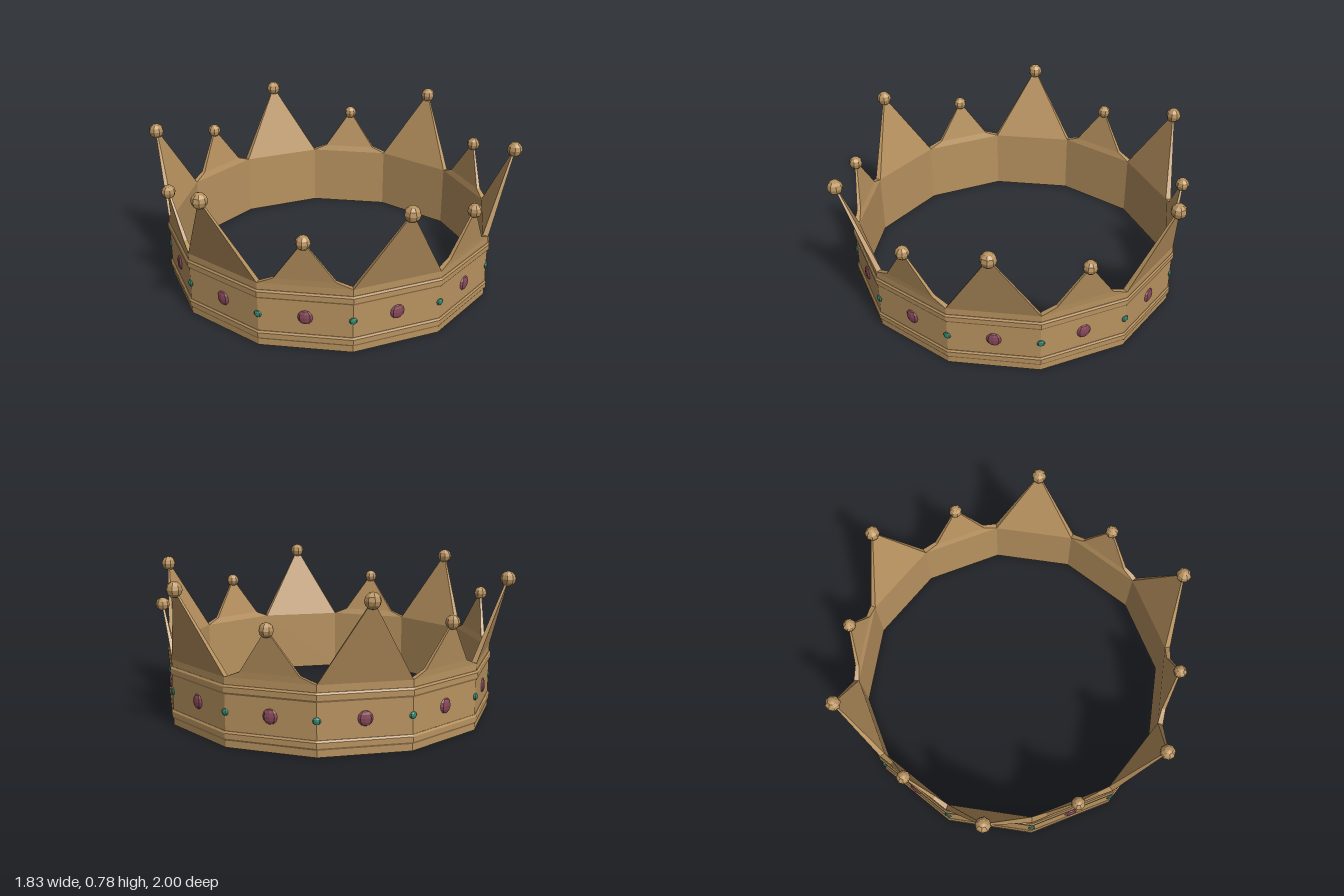
import * as THREE from 'three';

const SIDES = 12;
const STEP = (Math.PI * 2) / SIDES;
const COS = Math.cos(STEP / 2);
const TAN = Math.tan(STEP / 2);

const material = (color) => new THREE.MeshStandardMaterial({ color, flatShading: true });

// Twelve-sided ring; profile points are [distance to flat, height], outside going up
function ring(name, profile, mat) {
  const points = [...profile, profile[0]].map(([a, y]) => new THREE.Vector2(a / COS, y));
  const mesh = new THREE.Mesh(new THREE.LatheGeometry(points, SIDES, STEP / 2), mat);
  mesh.name = name;
  return mesh;
}

// Thin leaning point, lofted through levels [height, outer half width, outer z, inner half width, inner z]
function spikeGeometry(levels) {
  const positions = [];
  const index = [];
  for (const [y, wo, zo, wi, zi] of levels) {
    positions.push(-wo, y, zo, wo, y, zo, wi, y, zi, -wi, y, zi);
  }
  for (let l = 0; l < levels.length - 1; l++) {
    for (let k = 0; k < 4; k++) {
      const a = l * 4 + k;
      const b = l * 4 + ((k + 1) % 4);
      index.push(a, b, b + 4, a, b + 4, a + 4);
    }
  }
  const geometry = new THREE.BufferGeometry();
  geometry.setAttribute('position', new THREE.Float32BufferAttribute(positions, 3));
  geometry.setIndex(index);
  const flat = geometry.toNonIndexed();
  flat.computeVertexNormals();
  return flat;
}

export function createModel() {
  const crown = new THREE.Group();
  crown.name = 'crown';
  const gold = material(0xb8925f);
  const red = material(0x87485a);
  const green = material(0x2f8570);

  // Wall and the two raised bands
  const OUT = 0.85;
  const IN = 0.822;
  const RIM = 0.345;
  crown.add(ring('wall', [[IN, 0], [OUT, 0], [OUT, RIM], [IN, RIM]], gold));
  for (const [name, y] of [['lowerBand', 0.035], ['upperBand', 0.262]]) {
    crown.add(ring(name, [
      [OUT - 0.01, y], [OUT + 0.002, y], [OUT + 0.008, y + 0.011],
      [OUT + 0.008, y + 0.037], [OUT + 0.002, y + 0.047], [OUT - 0.01, y + 0.047],
    ], gold));
  }

  // Tall and short points alternate around the rim
  const base = [RIM, OUT * TAN, OUT, IN * TAN, IN];
  const tallSpike = spikeGeometry([base, [0.735, 0.006, 0.963, 0.006, 0.953]]);
  const shortSpike = spikeGeometry([
    base,
    [0.377, 0.148, 0.853, 0.146, 0.833],
    [0.585, 0.006, 0.884, 0.006, 0.874],
  ]);
  const ball = new THREE.SphereGeometry(1, 8, 6);

  function addBlob(parent, name, mat, position, scale) {
    const mesh = new THREE.Mesh(ball, mat);
    mesh.name = name;
    mesh.position.set(...position);
    mesh.scale.set(...scale);
    parent.add(mesh);
  }

  for (let i = 0; i < SIDES; i++) {
    const tall = i % 2 === 0;
    const panel = new THREE.Group();
    panel.name = tall ? 'tallPanel' : 'shortPanel';
    panel.rotation.y = i * STEP;
    const spike = new THREE.Mesh(tall ? tallSpike : shortSpike, gold);
    spike.name = 'spike';
    panel.add(spike);

    const r = tall ? 0.04 : 0.036;
    addBlob(panel, 'tipBall', gold, tall ? [0, 0.74, 0.96] : [0, 0.588, 0.88], [r, r, r]);
    addBlob(panel, 'largeGem', red, [0, 0.175, OUT], [0.037, 0.038, 0.014]);
    crown.add(panel);

    // Small gem on the corner between two panels
    const corner = new THREE.Group();
    corner.name = 'corner';
    corner.rotation.y = (i + 0.5) * STEP;
    addBlob(corner, 'smallGem', green, [0, 0.175, OUT / COS], [0.02, 0.018, 0.01]);
    crown.add(corner);
  }
  return crown;
}
